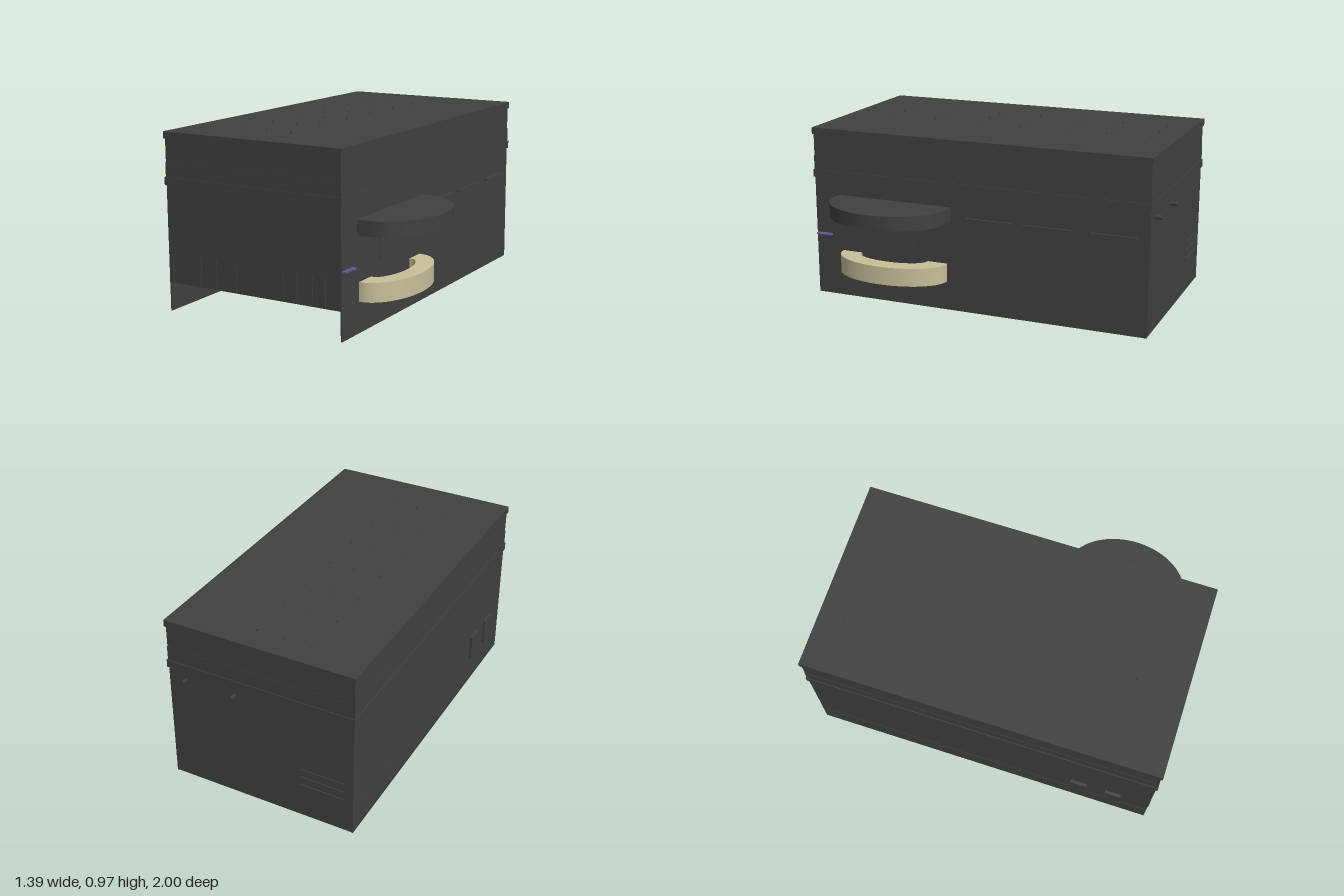
import * as THREE from 'three';
import { toCreasedNormals } from 'three/addons/utils/BufferGeometryUtils.js';

const dark = new THREE.MeshStandardMaterial({ color: 0x404040 });
const beige = new THREE.MeshStandardMaterial({ color: 0xc8c09a });
const violet = new THREE.MeshStandardMaterial({ color: 0x6a62a0 });

// Wall planes of the building
const X0 = -0.682, X1 = 0.382, Z0 = -0.962, Z1 = 0.992;

export function createModel() {
  const model = new THREE.Group();

  const add = (name, geometry, material = dark) => {
    const mesh = new THREE.Mesh(geometry, material);
    mesh.name = name;
    model.add(mesh);
    return mesh;
  };
  // Box given by its lower and upper limits on each axis
  const box = (name, x0, x1, y0, y1, z0, z1, material) => {
    const g = new THREE.BoxGeometry(x1 - x0, y1 - y0, z1 - z0);
    g.translate((x0 + x1) / 2, (y0 + y1) / 2, (z0 + z1) / 2);
    return add(name, g, material);
  };
  // Slab that surrounds the walls with a given overhang
  const band = (name, y0, y1, out) =>
    box(name, X0 - out, X1 + out, y0, y1, Z0 - out, Z1 + out);

  // Main body over an undercroft that is open at the front
  box('body', X0, X1, 0.157, 0.93, Z0, Z1);
  const t = 0.006;
  box('rightSkirt', X0, X0 + t, 0, 0.157, Z0, Z1);
  box('leftSkirt', X1 - t, X1, 0, 0.157, Z0, Z1);
  box('backSkirt', X0 + t, X1 - t, 0.004, 0.157, Z0, Z0 + t);

  // Horizontal trim
  band('roof', 0.927, 0.965, 0.007);
  band('upperBand', 0.725, 0.805, 0.002);
  band('middleTrim', 0.682, 0.725, 0.007);

  // Small studs on the roof
  for (const x of [-0.382, -0.225, -0.075])
    for (const z of [-0.83, -0.575, -0.34, -0.075, 0.18, 0.45, 0.73]) {
      const stud = new THREE.CylinderGeometry(0.004, 0.004, 0.012, 8);
      add('roofStud', stud.translate(x, 0.967, z));
    }

  // Half-elliptical slab against the left wall, with an optional inner cut-out
  const halfEllipse = (name, cx, rx, rz, cz, y0, y1, inner, material) => {
    const s = new THREE.Shape();
    s.moveTo(X1 - 0.01, cz - rz);
    s.lineTo(cx, cz - rz);
    s.absellipse(cx, cz, rx, rz, -Math.PI / 2, Math.PI / 2, false);
    s.lineTo(X1 - 0.01, cz + rz);
    if (inner) {
      s.lineTo(X1 - 0.01, cz + inner[1]);
      s.lineTo(cx, cz + inner[1]);
      s.absellipse(cx, cz, inner[0], inner[1], Math.PI / 2, -Math.PI / 2, true);
      s.lineTo(X1 - 0.01, cz - inner[1]);
    }
    s.closePath();
    const g = new THREE.ExtrudeGeometry(s, { depth: y1 - y0, bevelEnabled: false, curveSegments: 32 });
    g.rotateX(Math.PI / 2).translate(0, y1, 0);
    add(name, toCreasedNormals(g, 0.6), material);
  };
  halfEllipse('canopy', 0.43, 0.262, 0.345, 0.5, 0.51, 0.59, null, dark);
  halfEllipse('curvedBench', 0.39, 0.182, 0.322, 0.502, 0.165, 0.267, [0.085, 0.205], beige);

  // Left wall: panel under the canopy, ledges and a small fixture
  box('counterPanel', X1, X1 + 0.006, 0.33, 0.475, 0.38, 0.62);
  for (const [z0, z1] of [[-0.9, -0.64], [-0.54, -0.27], [-0.2, 0.065]])
    box('ledge', X1, 0.397, 0.53, 0.541, z0, z1);
  for (let i = 0; i < 5; i++)
    box('fixtureSlat', X1, 0.407, 0.352, 0.36, 0.892 + i * 0.02, 0.904 + i * 0.02, violet);

  // Right wall: two raised panels and a thin seam
  for (const z of [0.585, 0.785])
    box('sidePanel', X0 - 0.015, X0, 0.165, 0.315, z - 0.045, z + 0.045);
  box('sideSeam', X0 - 0.002, X0, 0.153, 0.159, Z0, Z1);

  // Front wall: upright bars along the lower edge
  for (const x of [-0.66, -0.475, -0.375, -0.25, 0.04, 0.12, 0.21, 0.285])
    box('frontBar', x - 0.006, x + 0.006, 0.165, 0.31, Z1, Z1 + 0.005);

  // Back wall: vent slats and two hexagonal pegs
  for (const y of [0.2, 0.25, 0.3])
    box('ventSlat', -0.63, -0.38, y - 0.006, y + 0.006, Z0 - 0.006, Z0);
  for (const x of [-0.006, 0.282]) {
    const peg = new THREE.CylinderGeometry(0.012, 0.012, 0.04, 6);
    add('backPeg', peg.rotateX(Math.PI / 2).translate(x, 0.632, -0.98));
  }

  return model;
}
